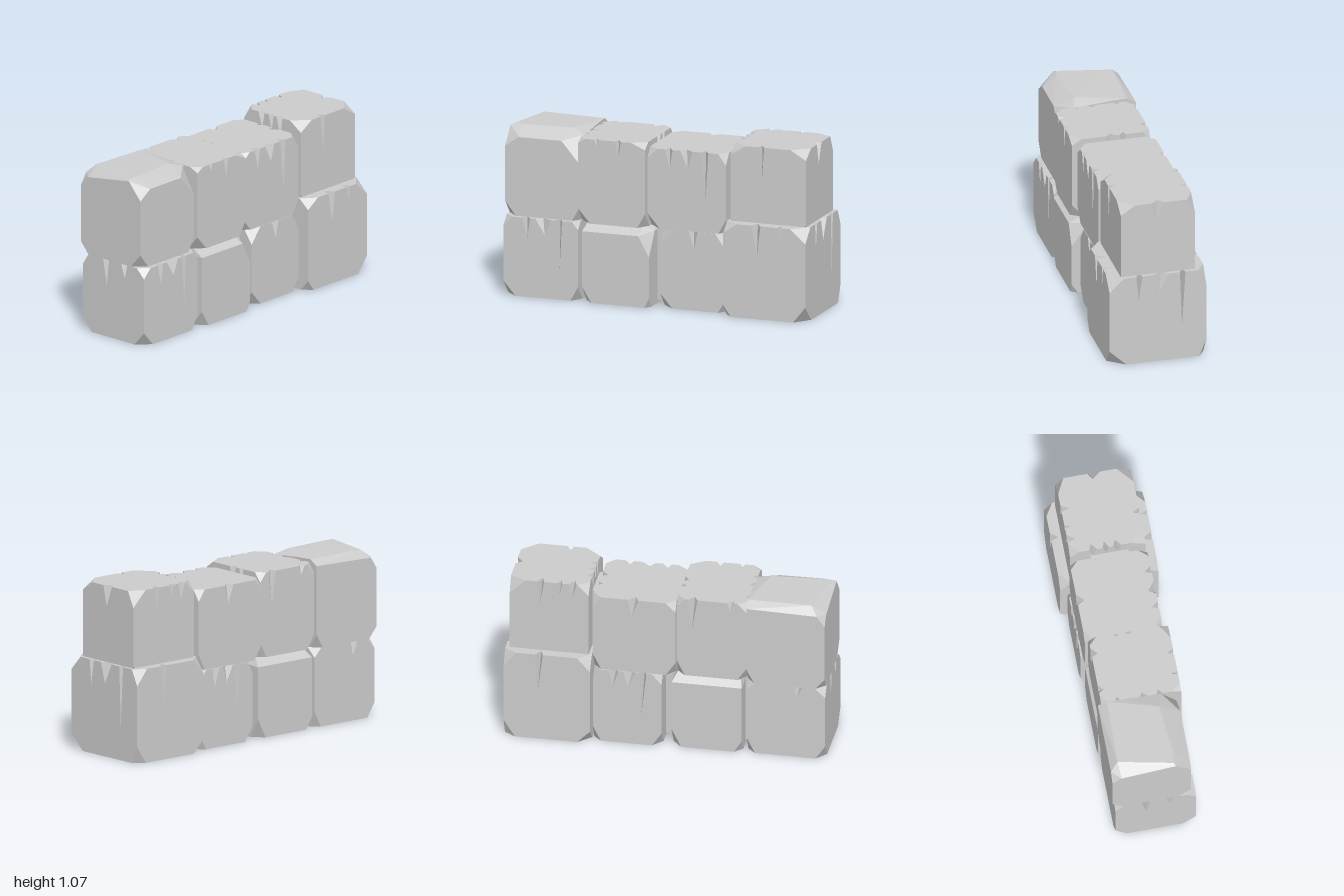
import * as THREE from 'three';
import { ConvexGeometry } from 'three/addons/geometries/ConvexGeometry.js';

const material = new THREE.MeshStandardMaterial({ color: 0xcccccc, flatShading: true });
const V = (p) => new THREE.Vector3(...p);
const CORNERS = [[0, 0], [1, 0], [1, 1], [0, 1]];

// Three points left where a box corner is cut away
function cutPoints(min, max, bits, cut) {
  const corner = bits.map((b, i) => (b ? max[i] : min[i]));
  return [0, 1, 2].map((axis) => {
    const p = [...corner];
    p[axis] += (bits[axis] ? -1 : 1) * cut[axis];
    return p;
  });
}

// Cut list: four lower corners then four upper, each going (-x-z, +x-z, +x+z, -x+z)
const cutIndex = (bits) => bits[1] * 4 + [[0, 3], [1, 2]][bits[0]][bits[2]];

// Stone with cut corners and wedge cracks running down from its upper edges.
// cracks: { side: [[position, width, drop, inset], ...] }
function stoneGeometry(min, max, cuts, cracks) {
  const out = [];
  const tri = (a, b, c, toward) => {
    const n = V(b).sub(V(a)).cross(V(c).sub(V(a)));
    out.push(...(n.dot(V(toward).sub(V(a))) < 0 ? [...a, ...c, ...b] : [...a, ...b, ...c]));
  };

  // Crack corners: two on the edge, one inward on the top, one down the side
  const pits = {};
  for (const side of ['-x', '+x', '-z', '+z']) {
    const n = side[1] === 'x' ? 0 : 2, u = 2 - n, s = side[0] === '+' ? 1 : -1;
    pits[side] = (cracks[side] || []).map(([at, w, drop, inset = 0.045]) => {
      const point = (du, dn, dy) => {
        const p = [];
        p[u] = at + du;
        p[n] = (s > 0 ? max[n] : min[n]) - s * dn;
        p[1] = max[1] - dy;
        return p;
      };
      const pit = { u, at, a: point(-w / 2, 0, 0), b: point(w / 2, 0, 0), inner: point(-w * 0.15, inset, 0), low: point(w * 0.12, 0, drop) };
      const hollow = point(0, inset / 4, drop / 4);
      tri(pit.a, pit.inner, pit.low, hollow);
      tri(pit.b, pit.inner, pit.low, hollow);
      return pit;
    });
  }

  // Six faces, outlined corner by corner with the cracks let in
  for (let n = 0; n < 3; n++) {
    const u = (n + 1) % 3, v = (n + 2) % 3;
    for (const end of [0, 1]) {
      const loop = [];
      CORNERS.forEach(([cu, cv], i) => {
        const bits = [];
        bits[n] = end; bits[u] = cu; bits[v] = cv;
        const pts = cutPoints(min, max, bits, cuts[cutIndex(bits)]);
        const leave = i % 2 ? v : u, arrive = i % 2 ? u : v;
        loop.push(pts[arrive], pts[leave]);
        // fixed axis of the edge just left
        const fixed = arrive;
        let side = null;
        if (n === 1 && end) side = (bits[fixed] ? '+' : '-') + 'xyz'[fixed];
        else if (n !== 1 && fixed === 1 && bits[1]) side = (end ? '+' : '-') + 'xyz'[n];
        if (!side) return;
        const dir = bits[leave] ? -1 : 1;
        [...pits[side]].sort((p, q) => dir * (p.at - q.at)).forEach((p) => {
          const mid = n === 1 ? p.inner : p.low;
          loop.push(...(dir > 0 ? [p.a, mid, p.b] : [p.b, mid, p.a]));
        });
      });
      const flat = loop.map((p) => new THREE.Vector2(p[u], p[v]));
      for (const f of THREE.ShapeUtils.triangulateShape(flat, [])) {
        const [a, b, c] = f.map((k) => loop[k]);
        const toward = [...a];
        toward[n] += end ? 1 : -1;
        tri(a, b, c, toward);
      }
    }
  }

  // Cut corners
  for (const y of [0, 1]) for (const [x, z] of CORNERS) {
    const bits = [x, y, z];
    const pts = cutPoints(min, max, bits, cuts[cutIndex(bits)]);
    tri(...pts, bits.map((b, i) => (b ? max[i] : min[i])));
  }
  const g = new THREE.BufferGeometry();
  g.setAttribute('position', new THREE.Float32BufferAttribute(out, 3));
  g.computeVertexNormals();
  return g;
}

// Stone with a bevelled cap: cut lower corners, free upper points
function cappedGeometry(min, max, cuts, top) {
  const pts = CORNERS.flatMap(([x, z], i) => cutPoints(min, max, [x, 0, z], cuts[i]));
  return new ConvexGeometry([...pts, ...top].map(V));
}

export function createModel() {
  const group = new THREE.Group();
  const add = (name, geometry) => {
    const mesh = new THREE.Mesh(geometry, material);
    mesh.name = name;
    group.add(mesh);
  };
  const low = [[0.06, 0.09, 0.07], [0.05, 0.1, 0.05], [0.05, 0.09, 0.08], [0.08, 0.09, 0.08]];

  // Lower course
  add('lowerStone1', stoneGeometry([-1, 0, -0.24], [-0.51, 0.5, 0.265],
    [...low, [0.07, 0.07, 0.06], [0.06, 0.06, 0.07], [0.04, 0.05, 0.05], [0.06, 0.06, 0.06]], {
      '+z': [[-0.85, 0.05, 0.13], [-0.74, 0.1, 0.1], [-0.635, 0.04, 0.31]],
      '-z': [[-0.83, 0.06, 0.09]],
      '-x': [[-0.05, 0.05, 0.17], [0.1, 0.05, 0.09]],
    }));
  add('lowerCappedStone', cappedGeometry([-0.48, 0, -0.25], [-0.04, 0.5, 0.275],
    [[0.05, 0.08, 0.05], [0.06, 0.12, 0.07], [0.03, 0.06, 0.04], [0.06, 0.1, 0.08]], [
      [-0.48, 0.45, 0.275], [-0.11, 0.45, 0.275], [-0.04, 0.32, 0.275], [-0.04, 0.47, 0.17],
      [-0.47, 0.495, 0.19], [-0.11, 0.495, 0.19], [-0.07, 0.5, 0.1], [-0.46, 0.5, -0.19],
      [-0.07, 0.5, -0.19], [-0.48, 0.45, -0.25], [-0.04, 0.45, -0.25],
    ]));
  add('lowerStone3', stoneGeometry([0.02, 0, -0.265], [0.45, 0.5, 0.235],
    [...low, [0.06, 0.07, 0.06], [0.05, 0.08, 0.06], [0.07, 0.1, 0.07], [0.08, 0.1, 0.07]], {
      '+z': [[0.235, 0.06, 0.11]],
      '-z': [[0.14, 0.05, 0.3], [0.22, 0.08, 0.1], [0.32, 0.06, 0.12]],
    }));
  add('lowerEndStone', stoneGeometry([0.46, 0, -0.31], [1, 0.59, 0.305],
    [[0.08, 0.08, 0.08], [0.07, 0.11, 0.045], [0.08, 0.1, 0.105], [0.05, 0.07, 0.06],
      [0.08, 0.09, 0.07], [0.08, 0.1, 0.05], [0.1, 0.09, 0.09], [0.09, 0.06, 0.07]], {
      '+z': [[0.675, 0.06, 0.19, 0.06], [0.83, 0.03, 0.1, 0.06]],
      '-z': [[0.78, 0.05, 0.25, 0.05]],
      '+x': [[0.115, 0.04, 0.16], [-0.02, 0.1, 0.13], [-0.16, 0.035, 0.37]],
    }));

  // Upper course
  add('upperCappedStone', cappedGeometry([-1, 0.5, -0.258], [-0.51, 1.06, 0.235],
    [[0.06, 0.07, 0.06], [0.05, 0.09, 0.06], [0.05, 0.09, 0.07], [0.07, 0.09, 0.08]], [
      [-0.91, 1.06, -0.21], [-0.51, 1.055, -0.2], [-0.51, 1.05, -0.1], [-0.6, 1.06, 0.11],
      [-0.98, 1.06, 0.13], [-0.92, 1.055, 0.145], [-0.91, 1, 0.235], [-0.63, 1, 0.235],
      [-0.51, 0.86, 0.235], [-0.51, 1.03, 0.14], [-1, 0.94, 0.235], [-1, 1.05, 0.14],
      [-1, 1, -0.2], [-0.95, 1.01, -0.258], [-1, 0.94, -0.258], [-0.51, 1.02, -0.258],
    ]));
  add('upperStone2', stoneGeometry([-0.51, 0.5, -0.235], [-0.07, 1.035, 0.265],
    [...low, [0.06, 0.06, 0.05], [0.05, 0.06, 0.05], [0.09, 0.04, 0.06], [0.05, 0.03, 0.06]], {
      '+z': [[-0.39, 0.03, 0.04, 0.04], [-0.25, 0.04, 0.12]],
      '-z': [[-0.41, 0.05, 0.06, 0.03], [-0.17, 0.06, 0.22, 0.04]],
      '-x': [[-0.13, 0.04, 0.1, 0.03], [0.03, 0.05, 0.12, 0.03], [0.13, 0.04, 0.1, 0.03]],
      '+x': [[-0.06, 0.04, 0.1, 0.03], [0.02, 0.06, 0.12, 0.03]],
    }));
  add('upperStone3', stoneGeometry([-0.065, 0.5, -0.255], [0.45, 1.005, 0.232],
    [...low, [0.06, 0.06, 0.05], [0.05, 0.07, 0.05], [0.05, 0.07, 0.06], [0.07, 0.06, 0.05]], {
      '+z': [[0.075, 0.05, 0.12], [0.19, 0.08, 0.11], [0.31, 0.05, 0.31]],
      '-z': [[0.2, 0.07, 0.12]],
      '+x': [[-0.08, 0.04, 0.1, 0.03], [0.04, 0.06, 0.14, 0.04]],
    }));
  add('upperEndStone', stoneGeometry([0.48, 0.59, -0.245], [0.975, 1.07, 0.227],
    [...Array(4).fill([0.01, 0.01, 0.01]),
      [0.07, 0.07, 0.06], [0.1, 0.1, 0.05], [0.1, 0.06, 0.09], [0.1, 0.06, 0.09]], {
      '+z': [[0.68, 0.04, 0.22]],
      '-z': [[0.58, 0.05, 0.1, 0.05], [0.66, 0.03, 0.08, 0.04], [0.78, 0.04, 0.15, 0.05]],
      '+x': [[-0.005, 0.08, 0.13, 0.04]],
      '-x': [[-0.1, 0.05, 0.1, 0.04], [-0.02, 0.04, 0.1, 0.04], [0.05, 0.05, 0.12, 0.04]],
    }));

  // Hidden core that closes the joints
  const core = new THREE.Mesh(new THREE.BoxGeometry(1.4, 0.95, 0.24), material);
  core.name = 'core';
  core.position.y = 0.495;
  group.add(core);
  return group;
}
